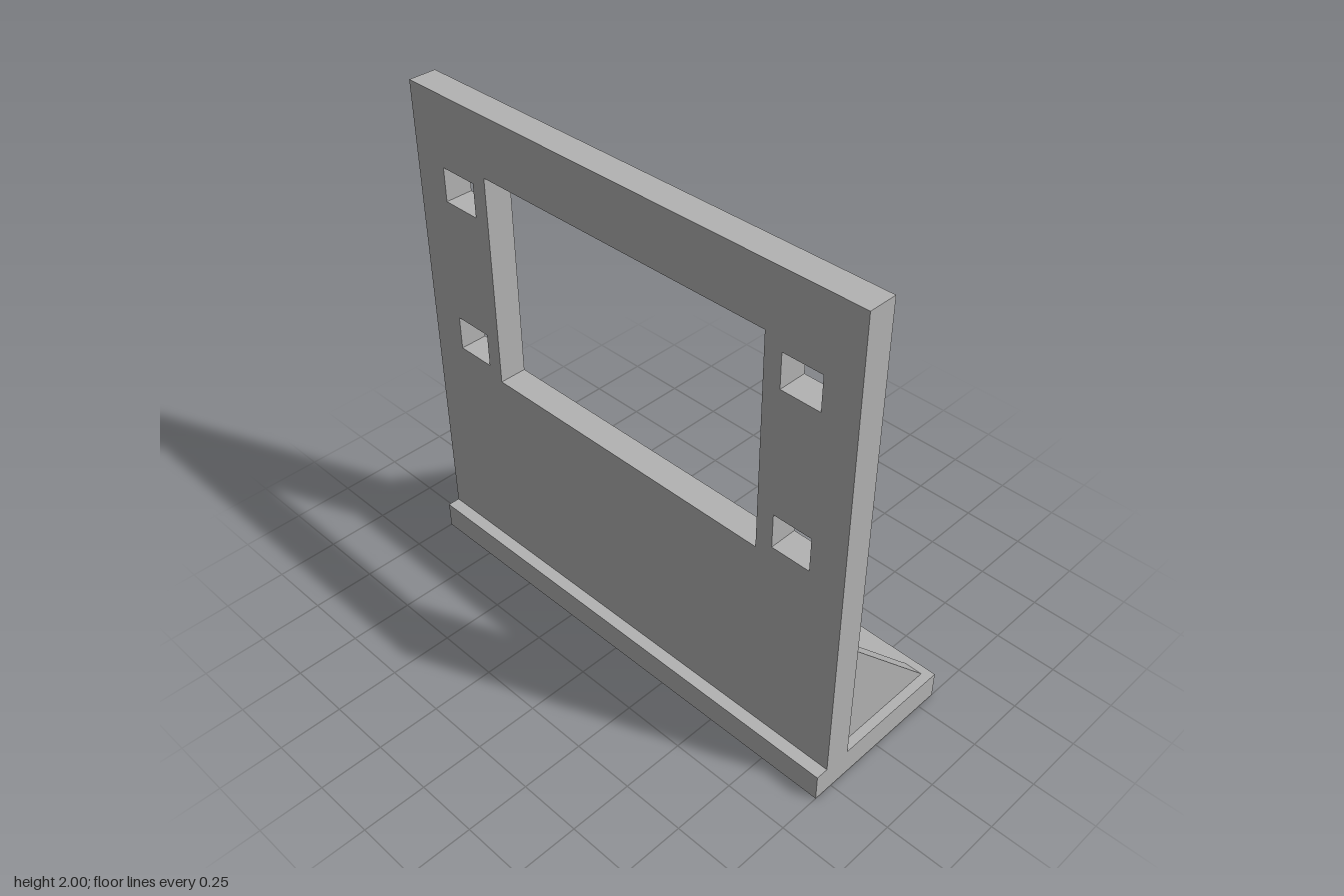
import * as THREE from 'three';
import { toCreasedNormals } from 'three/addons/utils/BufferGeometryUtils.js';

const BASE_TOP = 0.11;
const WALL_FRONT = -0.17;
const WALL_THICKNESS = 0.11;

// Rectangular outline, usable as a shape or a hole
function rect(Type, x0, y0, x1, y1) {
  return new Type([
    new THREE.Vector2(x0, y0), new THREE.Vector2(x1, y0),
    new THREE.Vector2(x1, y1), new THREE.Vector2(x0, y1),
  ]);
}

function extrude(shape, depth) {
  return new THREE.ExtrudeGeometry(shape, { depth, bevelEnabled: false, curveSegments: 40 });
}

export function createModel() {
  const group = new THREE.Group();
  group.name = 'mountingBracket';
  const grey = new THREE.MeshStandardMaterial({ color: 0xb2b2b2 });
  grey.name = 'grey';

  const add = (name, geometry) => {
    const mesh = new THREE.Mesh(geometry, grey);
    mesh.name = name;
    group.add(mesh);
    return mesh;
  };

  // Base plate with two round bolt holes, extruded downwards
  const base = rect(THREE.Shape, -0.33, -1, 0.33, 1);
  for (const z of [-0.742, 0.738]) {
    base.holes.push(new THREE.Path().absarc(0, z, 0.066, 0, Math.PI * 2, true));
  }
  const baseGeometry = extrude(base, BASE_TOP).rotateX(Math.PI / 2);
  add('basePlate', toCreasedNormals(baseGeometry, 0.5)).position.y = BASE_TOP;

  // Upright plate with a window and four slots, drawn in z and y
  const wall = rect(THREE.Shape, -1, BASE_TOP, 1, 2);
  wall.holes.push(rect(THREE.Path, -0.633, 0.91, 0.635, 1.763));
  for (const [z0, z1] of [[-0.857, -0.697], [0.703, 0.86]]) {
    for (const [y0, y1] of [[0.953, 1.09], [1.583, 1.717]]) {
      wall.holes.push(rect(THREE.Path, z0, y0, z1, y1));
    }
  }
  const wallGeometry = extrude(wall, WALL_THICKNESS).rotateY(-Math.PI / 2);
  add('uprightPlate', wallGeometry).position.x = WALL_FRONT;

  // Triangular gussets near both ends
  const triangle = new THREE.Shape([
    new THREE.Vector2(WALL_FRONT, BASE_TOP),
    new THREE.Vector2(0.297, BASE_TOP),
    new THREE.Vector2(WALL_FRONT, 0.597),
  ]);
  for (const [name, z] of [['frontGusset', 0.89], ['backGusset', -0.963]]) {
    add(name, extrude(triangle, 0.073)).position.z = z;
  }

  return group;
}
